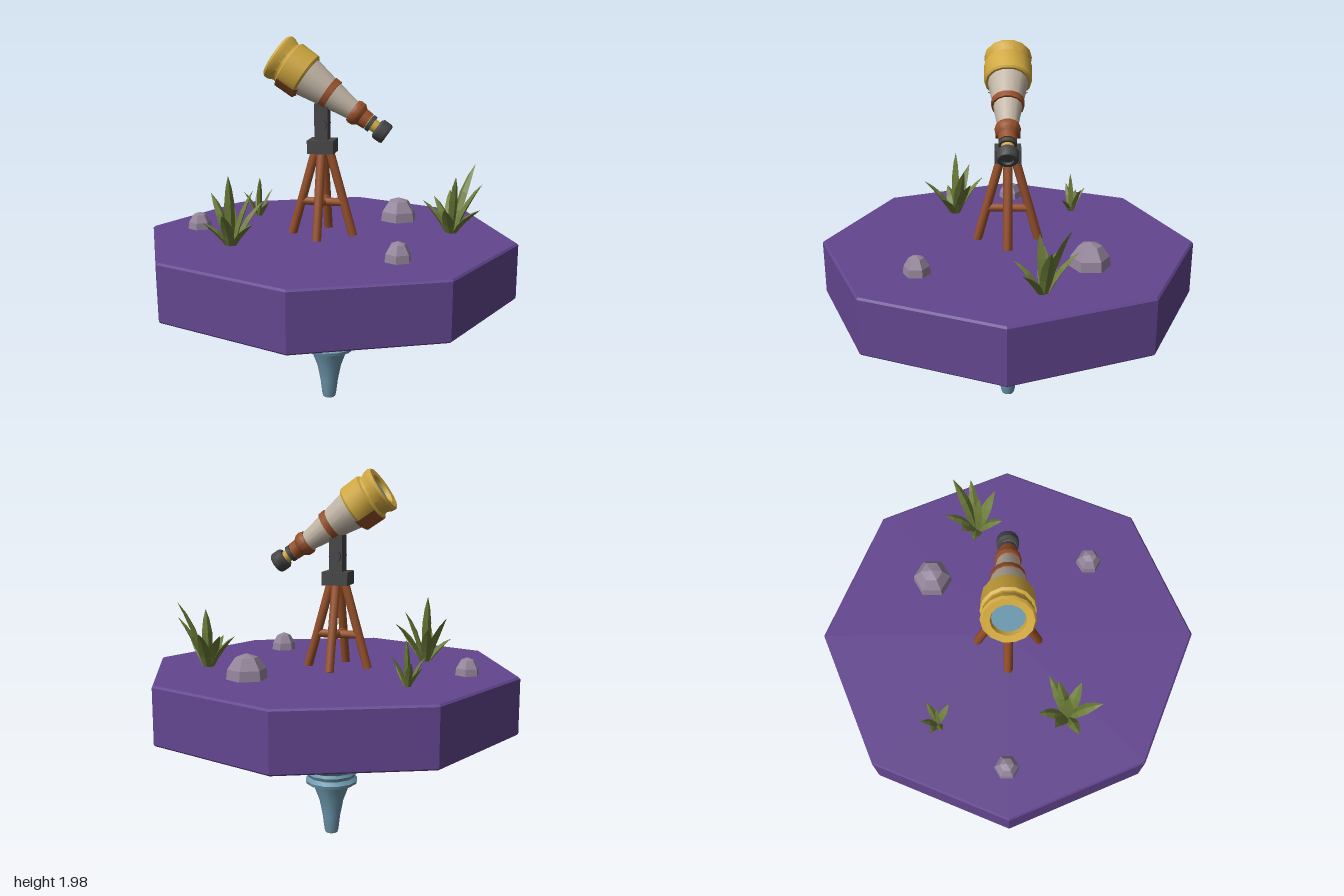
import * as THREE from 'three';
import { toCreasedNormals } from 'three/addons/utils/BufferGeometryUtils.js';

const TOP = 0.935; // height of the platform surface
const MOUNT_X = -0.035;

const mat = (name, color) => {
  const m = new THREE.MeshStandardMaterial({ color });
  m.name = name;
  return m;
};

export function createModel() {
  const model = new THREE.Group();
  model.name = 'telescopeIsland';
  const purple = mat('purple', 0x63468f);
  const blue = mat('blue', 0x6d98ae);
  const wood = mat('wood', 0x96502a);
  const dark = mat('darkMetal', 0x454547);
  const gold = mat('gold', 0xd0a83f);
  const cream = mat('cream', 0xc2b6a6);
  const green = mat('green', 0x6c7c38);
  const stone = mat('stone', 0x93849a);

  const add = (parent, name, geometry, material, crease = 0.6) => {
    const mesh = new THREE.Mesh(toCreasedNormals(geometry, crease), material);
    mesh.name = name;
    parent.add(mesh);
    return mesh;
  };
  // Lathe from [radius, height] pairs
  const lathe = (pairs, sides, start = 0, sweep = Math.PI * 2) =>
    new THREE.LatheGeometry(pairs.map(([r, y]) => new THREE.Vector2(r, y)), sides, start, sweep);
  // Round bar between two points
  const bar = (parent, name, a, b, radius, material) => {
    const from = new THREE.Vector3(...a), to = new THREE.Vector3(...b);
    const dir = to.clone().sub(from);
    const mesh = add(parent, name, new THREE.CylinderGeometry(radius, radius, dir.length(), 8), material, 0.9);
    mesh.position.copy(from).add(to).multiplyScalar(0.5);
    mesh.quaternion.setFromUnitVectors(new THREE.Vector3(0, 1, 0), dir.normalize());
  };

  // Octagonal platform with a slight bevel
  add(model, 'platform', lathe([
    [0, 0.63], [0.992, 0.63], [1, 0.638], [1, 0.925], [0.99, TOP], [0, TOP],
  ], 8), purple, 0.3);

  // Flared pedestal below the platform
  add(model, 'pedestal', lathe([
    [0, 0], [0.034, 0], [0.04, 0.02], [0.05, 0.1], [0.068, 0.19], [0.1, 0.275],
    [0.14, 0.288], [0.145, 0.305], [0.128, 0.325], [0.138, 0.345], [0.13, 0.36],
    [0.175, 0.4], [0.265, 0.475], [0.375, 0.555], [0.45, 0.605], [0.5, 0.634],
  ], 12), blue, 0.55);

  // Tripod stand: four splayed legs with crossing braces
  const stand = new THREE.Group();
  stand.name = 'stand';
  stand.position.x = MOUNT_X;
  model.add(stand);
  for (const [dx, dz] of [[1, 0], [-1, 0], [0, 1], [0, -1]]) {
    bar(stand, 'leg', [dx * 0.165, TOP, dz * 0.165], [dx * 0.035, 1.4, dz * 0.035], 0.024, wood);
  }
  bar(stand, 'braceAcross', [-0.11, 1.115, 0], [0.11, 1.115, 0], 0.022, wood);
  bar(stand, 'braceDeep', [0, 1.115, -0.11], [0, 1.115, 0.11], 0.022, wood);
  add(stand, 'collar', new THREE.BoxGeometry(0.14, 0.07, 0.14), dark).position.y = 1.415;
  add(stand, 'post', new THREE.BoxGeometry(0.07, 0.2, 0.09), dark).position.y = 1.54;
  bar(stand, 'pivot', [0, 1.53, -0.065], [0, 1.53, 0.065], 0.032, dark);

  // Telescope: local y runs from the lens to the eyepiece, local x points to its underside
  const scope = new THREE.Group();
  scope.name = 'telescope';
  scope.position.set(-0.275, 1.88, 0);
  scope.rotation.z = -2.172;
  model.add(scope);
  const turned = (name, pairs, material) => add(scope, name, lathe(pairs, 14), material);
  turned('lens', [[0, 0.022], [0.085, 0.022]], blue);
  turned('hood', [
    [0.075, 0.03], [0.082, 0], [0.118, -0.004], [0.126, 0.008], [0.124, 0.03], [0.112, 0.055],
    [0.114, 0.068], [0.127, 0.075], [0.124, 0.18], [0.116, 0.19], [0.09, 0.19],
  ], gold);
  add(scope, 'hoodPatch', lathe([
    [0.115, 0.08], [0.133, 0.08], [0.131, 0.185], [0.108, 0.2],
  ], 6, Math.PI / 2 - 0.95, 1.9), wood);
  turned('barrel', [[0.107, 0.17], [0.104, 0.2], [0.077, 0.34], [0.05, 0.5]], cream);
  turned('strap', [[0.07, 0.32], [0.086, 0.32], [0.084, 0.355], [0.068, 0.355]], wood);
  turned('focusSleeve', [
    [0, 0.485], [0.06, 0.485], [0.066, 0.5], [0.064, 0.525], [0.048, 0.545], [0.046, 0.585], [0, 0.585],
  ], wood);
  turned('focusTube', [[0, 0.58], [0.034, 0.58], [0.032, 0.65], [0, 0.65]], gold);
  turned('focusRing', [[0, 0.59], [0.045, 0.59], [0.045, 0.612], [0, 0.612]], dark);
  turned('eyepiece', [
    [0, 0.64], [0.046, 0.64], [0.056, 0.652], [0.056, 0.695], [0.05, 0.705], [0.032, 0.705], [0.03, 0.692], [0, 0.692],
  ], dark);

  // Rocks: x, z, radius, height
  for (const [x, z, r, h] of [[0.325, -0.415, 0.107, 0.13], [-0.73, -0.01, 0.066, 0.09], [0.425, 0.45, 0.07, 0.1]]) {
    const rock = add(model, 'rock', lathe([
      [r, -0.005], [r * 0.93, h * 0.4], [r * 0.55, h * 0.85], [0, h],
    ], 6), stone, 0.01);
    rock.position.set(x, TOP, z);
  }

  // Leaf: diamond cross-sections along a bending path, closing to a point
  const leafGeometry = ([dx, h, dz], width) => {
    const tip = new THREE.Vector3(dx, h, dz);
    const path = new THREE.QuadraticBezierCurve3(
      new THREE.Vector3(dx * 0.1, -0.01, dz * 0.1),
      new THREE.Vector3(dx * 0.4, h * 0.6, dz * 0.4), tip);
    const side = new THREE.Vector3(dz, 0, -dx).normalize();
    const positions = [], index = [];
    const rings = [[0, 0.6], [0.3, 0.95], [0.55, 1], [0.8, 0.6], [1, 0.04]];
    for (const [t, w] of rings) {
      const p = path.getPoint(t);
      const thick = path.getTangent(t).cross(side).normalize();
      for (const [u, v] of [[1, 0], [0, 0.45], [-1, 0], [0, -0.45]]) {
        const q = p.clone().addScaledVector(side, u * w * width).addScaledVector(thick, v * w * width);
        positions.push(q.x, q.y, q.z);
      }
    }
    for (let i = 0; i < rings.length - 1; i++) {
      for (let j = 0; j < 4; j++) {
        const a = i * 4 + j, b = i * 4 + (j + 1) % 4;
        index.push(a, a + 4, b, b, a + 4, b + 4);
      }
    }
    // Side, thickness and path directions form a left-handed set, so reverse if needed
    const n = new THREE.Vector3().crossVectors(side, path.getTangent(0).cross(side));
    const outwardFlip = n.dot(path.getTangent(0)) > 0;
    if (outwardFlip) for (let k = 0; k < index.length; k += 3) [index[k + 1], index[k + 2]] = [index[k + 2], index[k + 1]];
    const geometry = new THREE.BufferGeometry();
    geometry.setAttribute('position', new THREE.Float32BufferAttribute(positions, 3));
    geometry.setIndex(index);
    return geometry;
  };

  // Plants: position, leaf half-width and leaf tips relative to the base
  const plants = [
    { x: -0.455, z: 0.31, w: 0.03, tips: [
      [0.01, 0.19, 0.17], [-0.13, 0.12, 0.05], [-0.125, 0.25, -0.08], [-0.01, 0.355, -0.01],
      [-0.04, 0.2, -0.16], [0.105, 0.275, -0.06], [0.15, 0.215, -0.1], [0.14, 0.13, 0.07]] },
    { x: 0.64, z: -0.17, w: 0.03, tips: [
      [-0.02, 0.2, -0.17], [-0.1, 0.18, -0.08], [0.115, 0.355, -0.12], [0.16, 0.265, -0.03],
      [0.155, 0.15, 0.1], [0.02, 0.305, 0.02], [-0.03, 0.15, 0.14], [-0.155, 0.17, -0.01]] },
    { x: -0.49, z: -0.37, w: 0.018, tips: [
      [-0.08, 0.1, -0.03], [-0.03, 0.13, -0.08], [0.07, 0.15, -0.05],
      [0.075, 0.09, 0.06], [0.01, 0.225, 0.01], [-0.08, 0.14, 0.03]] },
  ];
  for (const { x, z, w, tips } of plants) {
    const plant = new THREE.Group();
    plant.name = 'plant';
    plant.position.set(x, TOP, z);
    for (const tip of tips) add(plant, 'leaf', leafGeometry(tip, w), green, 0.01);
    model.add(plant);
  }
  return model;
}
